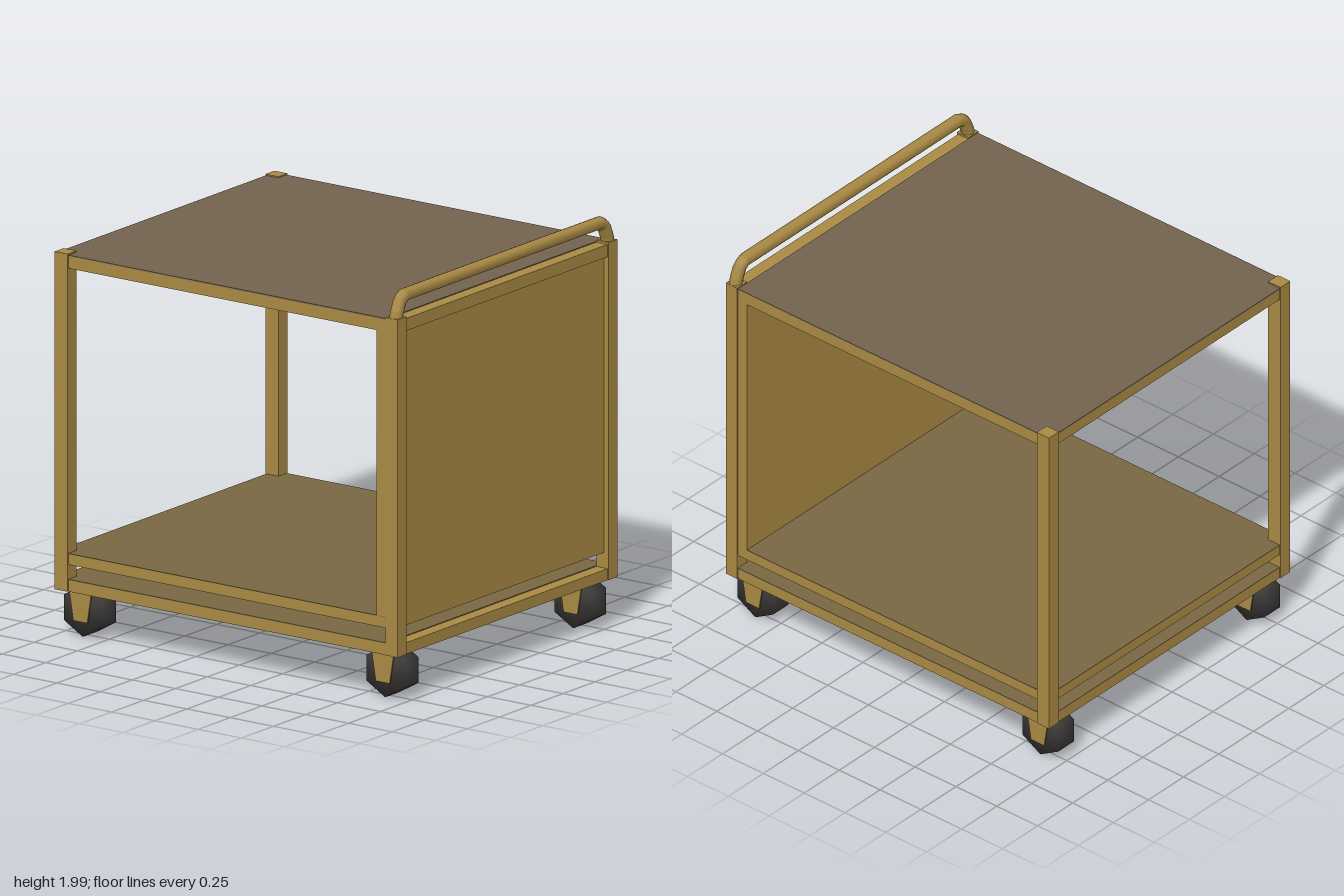
import * as THREE from 'three';
import { mergeVertices } from 'three/addons/utils/BufferGeometryUtils.js';

export function createModel() {
  const cart = new THREE.Group();
  cart.name = 'cart';

  const mat = (name, color) => {
    const m = new THREE.MeshStandardMaterial({ color });
    m.name = name;
    return m;
  };
  const brass = mat('brass', 0xaa8a44);
  const topBrown = mat('deckBrown', 0x73634f);
  const shelfOlive = mat('shelfOlive', 0x7a6742);
  const rubber = mat('rubber', 0x3b3937);

  const add = (name, geometry, material, parent = cart) => {
    const mesh = new THREE.Mesh(geometry, material);
    mesh.name = name;
    parent.add(mesh);
    return mesh;
  };
  // Box given by its minimum and maximum on each axis
  const box = (name, material, x0, x1, y0, y1, z0, z1) => {
    const mesh = add(name, new THREE.BoxGeometry(x1 - x0, y1 - y0, z1 - z0), material);
    mesh.position.set((x0 + x1) / 2, (y0 + y1) / 2, (z0 + z1) / 2);
    return mesh;
  };

  // Corner posts
  for (const s of [-1, 1]) {
    const x0 = s > 0 ? 0.79 : -0.86;
    box('frontPost', brass, x0, x0 + 0.07, 0.21, 1.84, 0.925, 0.995);
    box('rearPost', brass, x0, x0 + 0.07, 0.21, 1.84, -0.985, -0.91);
  }

  // Three levels of rails: bottom frame, shelf and top
  for (const [level, y0, y1] of [['bottom', 0.21, 0.265], ['shelf', 0.34, 0.39], ['top', 1.77, 1.83]]) {
    for (const s of [-1, 1]) {
      const x0 = s > 0 ? 0.795 : -0.855;
      box(level + 'SideRail', brass, x0, x0 + 0.06, y0, y1, -0.91, 0.925);
    }
    box(level + 'RearRail', brass, -0.79, 0.79, y0, y1, -0.98, -0.92);
    if (level !== 'shelf') box(level + 'FrontRail', brass, -0.79, 0.79, y0, y1, 0.925, 0.99);
  }

  // Front panel, set back a little between the posts
  box('frontPanel', brass, -0.79, 0.79, 0.34, 1.77, 0.87, 0.97);
  for (const s of [-1, 1]) {
    const x0 = s > 0 ? 0.79 : -0.855;
    box('panelEdge', brass, x0, x0 + 0.065, 0.39, 1.77, 0.87, 0.925);
  }

  // Decks
  box('topDeckBase', brass, -0.795, 0.795, 1.8, 1.828, -0.92, 0.925);
  box('topDeck', topBrown, -0.855, 0.855, 1.828, 1.834, -0.982, 0.925);
  box('shelfDeckBase', shelfOlive, -0.795, 0.795, 0.36, 0.39, -0.92, 0.87);
  box('shelfDeck', shelfOlive, -0.855, 0.855, 0.39, 0.394, -0.98, 0.92);
  box('bottomDeckBase', shelfOlive, -0.795, 0.795, 0.235, 0.265, -0.92, 0.925);
  box('bottomDeck', shelfOlive, -0.855, 0.855, 0.265, 0.269, -0.98, 0.925);

  // Push handle: straight bar bent down onto both front posts
  const path = new THREE.CurvePath();
  const points = [
    [-0.83, 1.825], [-0.822, 1.86], [-0.798, 1.915], [-0.765, 1.936],
    [0.765, 1.936], [0.798, 1.915], [0.822, 1.86], [0.83, 1.825],
  ].map(([x, y]) => new THREE.Vector3(x, y, 0.962));
  for (let i = 1; i < points.length; i++) path.add(new THREE.LineCurve3(points[i - 1], points[i]));
  add('handle', new THREE.TubeGeometry(path, 120, 0.032, 8), brass);

  // Casters: six-sided smooth wheel between two tapered fork plates
  const wheelGeo = new THREE.CylinderGeometry(0.125, 0.125, 0.112, 6);
  wheelGeo.deleteAttribute('uv');
  wheelGeo.deleteAttribute('normal');
  const wheel = mergeVertices(wheelGeo, 1e-4);
  wheel.computeVertexNormals();
  wheel.rotateZ(Math.PI / 2);

  const forkShape = new THREE.Shape([
    new THREE.Vector2(-0.065, 0.212), new THREE.Vector2(-0.04, 0.06),
    new THREE.Vector2(0.04, 0.06), new THREE.Vector2(0.065, 0.212),
  ]);
  const fork = new THREE.ExtrudeGeometry(forkShape, { depth: 0.006, bevelEnabled: false });
  fork.translate(0, 0, -0.003);
  fork.rotateY(Math.PI / 2);

  for (const sx of [-1, 1]) {
    for (const sz of [-1, 1]) {
      const caster = new THREE.Group();
      caster.name = 'caster';
      caster.position.set(0.735 * sx, 0, 0.873 * sz);
      cart.add(caster);
      const w = add('wheel', wheel, rubber, caster);
      w.rotation.x = Math.PI / 2;
      w.position.y = 0.108;
      for (const side of [-1, 1]) add('forkPlate', fork, brass, caster).position.x = 0.074 * side;
      add('mountPlate', new THREE.BoxGeometry(0.15, 0.006, 0.13), brass, caster).position.y = 0.213;
    }
  }
  return cart;
}
